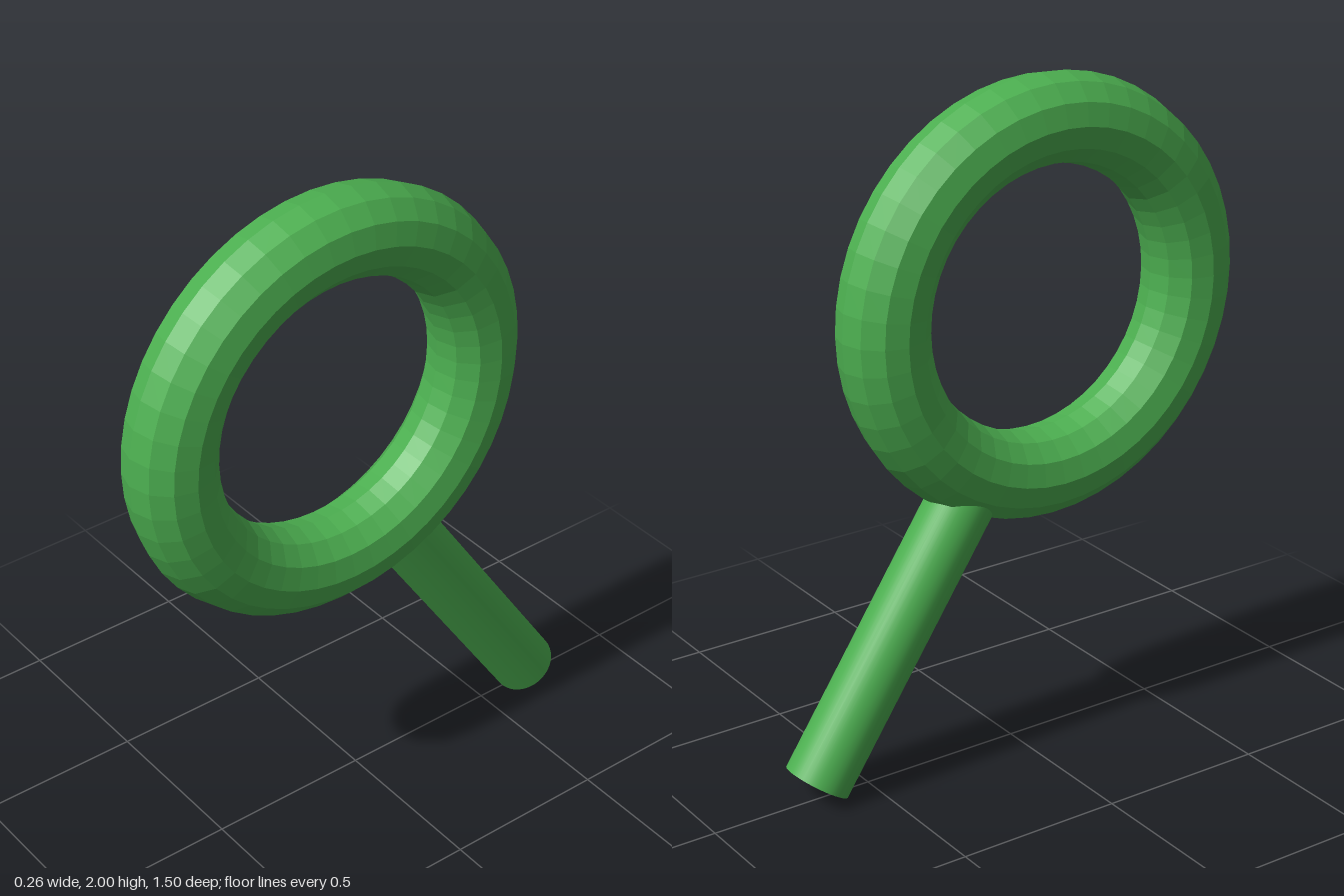
import * as THREE from 'three';

export function createModel() {
  const model = new THREE.Group();
  const color = 0x4caf50;

  // Faceted ring standing in the YZ plane
  const ring = new THREE.Mesh(
    new THREE.TorusGeometry(0.52, 0.13, 12, 48),
    new THREE.MeshStandardMaterial({ color, flatShading: true })
  );
  ring.name = 'ring';
  ring.rotation.y = Math.PI / 2;
  ring.position.set(0, 1.35, 0.1);
  model.add(ring);

  // Smooth round handle, leaning from the floor up into the ring
  const radius = 0.098, length = 0.98, tilt = THREE.MathUtils.degToRad(33.8);
  const handleGeometry = new THREE.CylinderGeometry(radius, radius, length, 40);
  handleGeometry.translate(0, length / 2, 0);
  const handle = new THREE.Mesh(handleGeometry, new THREE.MeshStandardMaterial({ color }));
  handle.name = 'handle';
  handle.rotation.x = tilt;
  handle.position.set(0, radius * Math.sin(tilt), -0.75 + radius * Math.cos(tilt));
  model.add(handle);

  return model;
}
